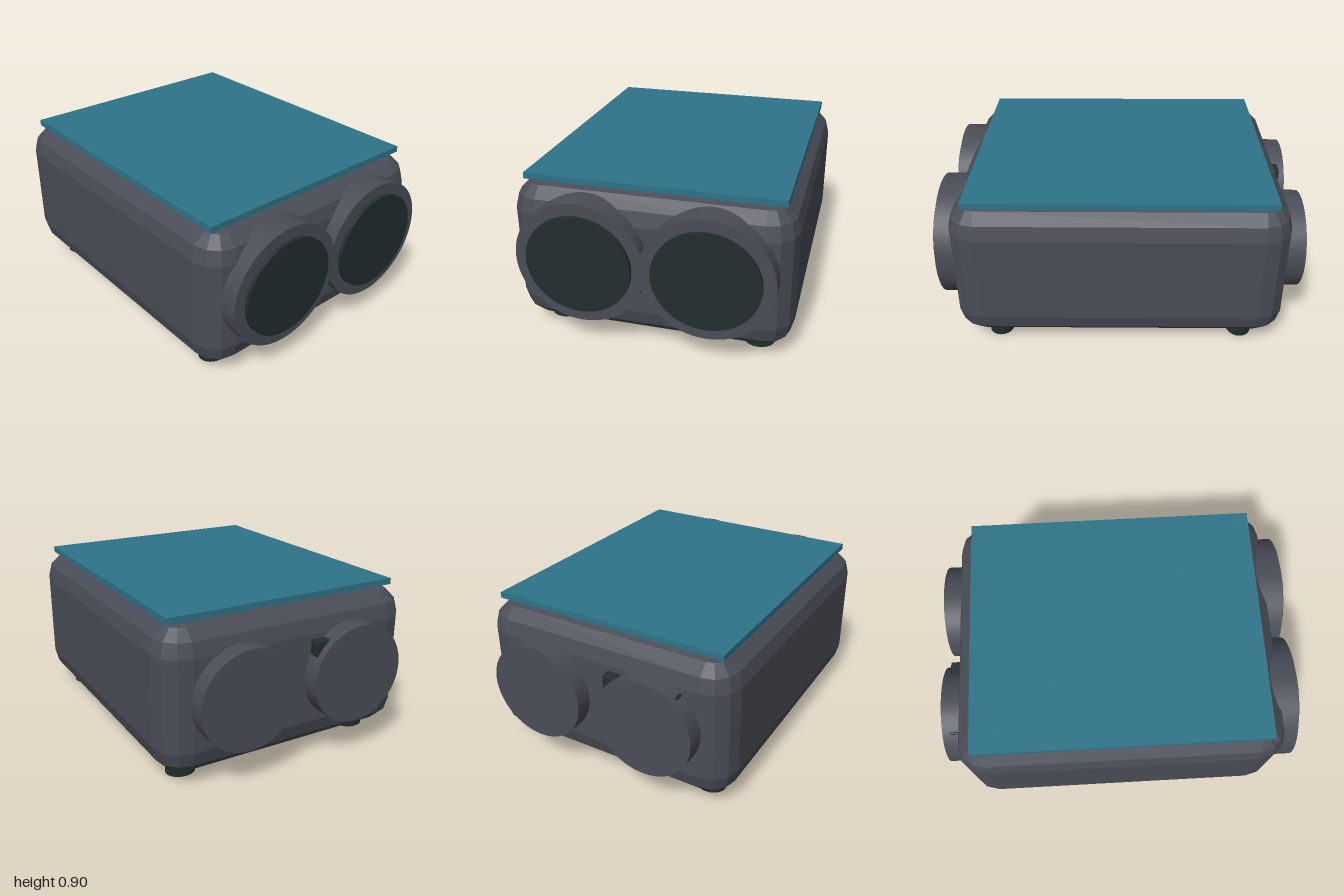
import * as THREE from 'three';
import { ConvexGeometry } from 'three/addons/geometries/ConvexGeometry.js';

export function createModel() {
  const model = new THREE.Group();
  const bodyGrey = new THREE.MeshStandardMaterial({ color: 0x4a4d57 });
  bodyGrey.name = 'bodyGrey';
  const darkGreen = new THREE.MeshStandardMaterial({ color: 0x222e2e });
  darkGreen.name = 'darkGreen';
  const teal = new THREE.MeshStandardMaterial({ color: 0x2e7489 });
  teal.name = 'teal';

  const add = (name, geometry, material, x, y, z) => {
    const mesh = new THREE.Mesh(geometry, material);
    mesh.name = name;
    mesh.position.set(x, y, z);
    model.add(mesh);
    return mesh;
  };

  // Faceted box: the hull of eight sphere corners with three steps each
  const facetedBox = (w, h, d, r, steps) => {
    const points = [];
    for (const sx of [-1, 1]) for (const sy of [-1, 1]) for (const sz of [-1, 1]) {
      for (let i = 0; i <= steps; i++) {
        const lat = (i / steps) * Math.PI / 2;
        const count = i === steps ? 0 : steps;
        for (let j = 0; j <= count; j++) {
          const lon = (j / steps) * Math.PI / 2;
          points.push(new THREE.Vector3(
            sx * (w / 2 - r + r * Math.cos(lat) * Math.cos(lon)),
            sy * (h / 2 - r + r * Math.sin(lat)),
            sz * (d / 2 - r + r * Math.cos(lat) * Math.sin(lon))));
        }
      }
    }
    return new ConvexGeometry(points);
  };

  // Slightly oval drum lying along x, between x0 and x1
  const drum = (name, material, x0, x1, y, z, ry, rz) => {
    const geometry = new THREE.CylinderGeometry(1, 1, x1 - x0, 64);
    geometry.rotateZ(Math.PI / 2);
    geometry.scale(1, ry, rz);
    add(name, geometry, material, (x0 + x1) / 2, y, z);
  };

  // Housing and top panel
  add('housing', facetedBox(1.81, 0.805, 1.495, 0.155, 3), bodyGrey, 0, 0.4625, 0);
  add('topPanel', new THREE.BoxGeometry(1.625, 0.033, 1.365), teal, 0, 0.881, -0.003);

  // Paired ports: framed openings on the left, plain caps on the right
  for (const side of [-1, 1]) {
    const z = side * 0.33;
    drum('portRing', bodyGrey, 0.7, 0.98, 0.503, z, 0.333, 0.345);
    drum('portOpening', darkGreen, 0.8, 1.0, 0.503, z, 0.268, 0.28);
    drum('sideCap', bodyGrey, -1.0, -0.8, 0.473, z, 0.268, 0.278);
  }

  // Latch bar passing through the front cap
  add('latchBar', facetedBox(0.055, 0.085, 0.43, 0.008, 2), darkGreen, -0.933, 0.644, 0.295);

  // Feet
  for (const sx of [-1, 1]) for (const sz of [-1, 1]) {
    const geometry = new THREE.CylinderGeometry(1, 1, 0.1, 32);
    geometry.scale(0.069, 1, 0.081);
    add('foot', geometry, darkGreen, sx * 0.682, 0.05, sz * 0.56);
  }
  return model;
}
